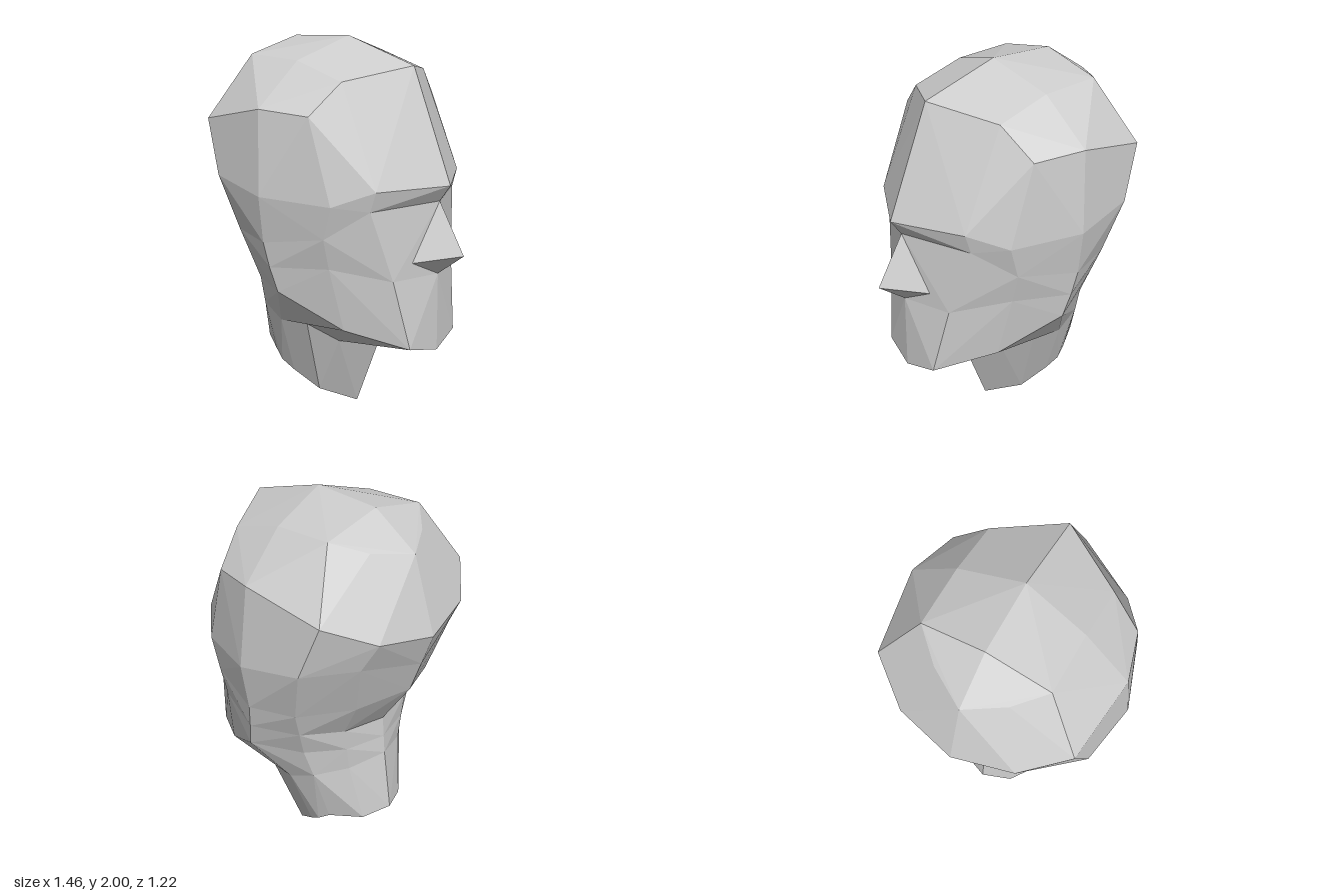
import * as THREE from 'three';

const material = new THREE.MeshStandardMaterial({ color: 0xcccccc, flatShading: true });

// Skins half rings (front midline -> +z side -> back midline) listed from top to bottom,
// mirrors them across z = 0, and splits each quad along its more convex diagonal.
function mirroredLoft(name, rings) {
  const positions = [];
  const V = rings.map((ring) => ring.map((p) => new THREE.Vector3(...p)));
  const normal = new THREE.Vector3();
  const tri = (a, b, c) => {
    normal.subVectors(b, a).cross(c.clone().sub(a));
    if (normal.length() < 1e-6) return;
    for (const p of [a, b, c]) positions.push(p.x, p.y, p.z);
    for (const p of [a, c, b]) positions.push(p.x, p.y, -p.z);
  };
  for (let i = 0; i < V.length - 1; i++) {
    for (let j = 0; j < V[i].length - 1; j++) {
      const a = V[i][j], b = V[i][j + 1], c = V[i + 1][j + 1], d = V[i + 1][j];
      normal.subVectors(b, a).cross(c.clone().sub(a));
      if (normal.dot(d.clone().sub(a)) <= 0) { tri(a, b, c); tri(a, c, d); }
      else { tri(a, b, d); tri(b, c, d); }
    }
  }
  const geometry = new THREE.BufferGeometry();
  geometry.setAttribute('position', new THREE.Float32BufferAttribute(positions, 3));
  geometry.computeVertexNormals();
  const mesh = new THREE.Mesh(geometry, material);
  mesh.name = name;
  return mesh;
}

export function createModel() {
  const group = new THREE.Group();
  group.name = 'head';

  // Ring columns: front, face, temple, ear front, ear back, rear side, back
  const hairline = [.41, 1.88, 0], forehead = [.23, 1.82, .33], crownBack = [-.6, 1.82, 0];
  const ridge = [hairline, hairline, hairline, [0, 2, 0], [-.36, 1.98, 0], crownBack, crownBack];
  const crown = [hairline, forehead, forehead, [-.05, 1.9, .33], [-.36, 1.91, .33], [-.49, 1.85, .19], crownBack];
  const temple = [hairline, forehead, [.17, 1.67, .5], [-.08, 1.69, .575], [-.49, 1.595, .525], [-.66, 1.49, .31], [-.73, 1.44, 0]];
  const brow = [[.64, 1.32, 0], [.45, 1.32, .34], [.29, 1.25, .485], [-.06, 1.27, .61], [-.39, 1.32, .56], [-.58, 1.34, .34], [-.67, 1.27, 0]];

  // Face
  const eyes = [[.58, 1.235, 0], [.42, 1.22, .345], [.24, 1.08, .48], [-.07, 1.03, .575], [-.31, 1.04, .5], [-.5, 1.06, .27], [-.61, 1.1, 0]];
  const cheeks = [[.58, .86, 0], [.49, .86, .25], [.24, .92, .44], [-.05, .9, .555], [-.29, .9, .45], [-.4, .87, .24], [-.45, .86, 0]];
  const jaw = [[.585, .45, 0], [.555, .5, .19], [.28, .59, .375], [-.02, .77, .53], [-.27, .76, .4], [-.4, .75, .22], [-.46, .75, 0]];

  // Neck, with the cut end closed along its midline
  const throat = [[.22, .42, 0], [.1, .43, .2], [.01, .55, .35], [-.15, .54, .375], [-.29, .6, .35], [-.4, .62, .2], [-.47, .65, 0]];
  const neckEnd = [[.06, 0, 0], [-.05, .105, .19], [-.18, .2, .25], [-.25, .25, .27], [-.31, .29, .25], [-.46, .3, .15], [-.52, .32, 0]];
  const neckSeam = neckEnd.map(([x, y]) => [x, y, 0]);

  group.add(mirroredLoft('skull', [ridge, crown, temple, brow]));
  group.add(mirroredLoft('face', [brow, eyes, cheeks, jaw]));
  group.add(mirroredLoft('neck', [jaw, throat, neckEnd, neckSeam]));

  // Nose: bridge, tip with side wing, base
  const bridge = [.58, 1.235, 0], base = [.58, .86, 0];
  group.add(mirroredLoft('nose', [[bridge, bridge], [[.73, .98, 0], [.53, .94, .15]], [base, base]]));

  return group;
}
